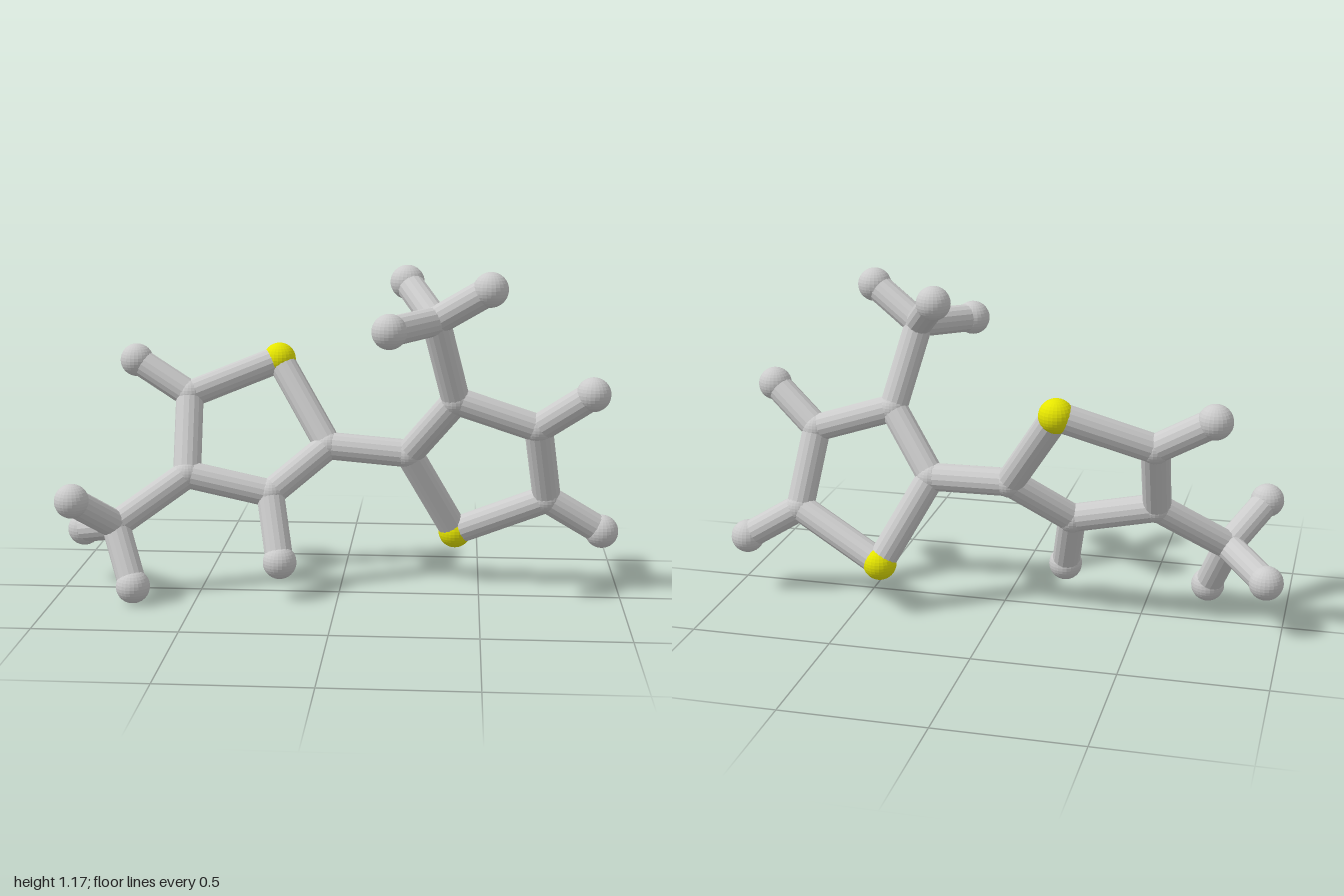
import * as THREE from 'three';

const grey = new THREE.MeshStandardMaterial({ color: 0xcccccc, flatShading: true });
const yellow = new THREE.MeshStandardMaterial({ color: 0xe6e600, flatShading: true });

// Atom centres: S sulphur, C ring carbon, M methyl carbon, H hydrogen
const rightHalf = {
  S1: [-0.24, 0.81, -0.275], C2: [-0.56, 0.69, -0.18], C3: [-0.55, 0.425, -0.026],
  C4: [-0.25, 0.36, -0.027], C5: [-0.05, 0.515, -0.137], M: [-0.79, 0.262, 0.088],
  H2: [-0.76, 0.81, -0.217], H4: [-0.205, 0.138, 0.09],
  Ha: [-0.908, 0.385, 0.248], Hb: [-0.942, 0.203, -0.082], Hc: [-0.714, 0.066, 0.184],
};
const leftHalf = {
  S1: [0.412, 0.19, -0.192], C2: [0.74, 0.34, -0.1], C3: [0.7, 0.615, -0.004],
  C4: [0.41, 0.71, 0], C5: [0.244, 0.498, -0.1], M: [0.338, 1.002, 0.096],
  H2: [0.94, 0.218, -0.12], H3: [0.882, 0.75, 0.07],
  Ha: [0.235, 1.118, -0.074], Hb: [0.522, 1.118, 0.165], Hc: [0.187, 0.988, 0.278],
};
const ring = ['S1-C2', 'C2-C3', 'C3-C4', 'C4-C5', 'C5-S1', 'C2-H2'];
const methyl = ['M-Ha', 'M-Hb', 'M-Hc'];

const atomRadius = { S: 0.06, C: 0.054, M: 0.054, H: 0.06 };
const atomName = { S: 'sulphurAtom', C: 'ringCarbon', M: 'methylCarbon', H: 'hydrogenAtom' };

function atom(key, p) {
  const kind = key[0];
  const mesh = new THREE.Mesh(
    new THREE.SphereGeometry(atomRadius[kind], 24, 16), kind === 'S' ? yellow : grey);
  mesh.position.set(...p);
  mesh.name = atomName[kind];
  return mesh;
}

// Round stick between two atom centres
function bond(a, b, name = 'bond') {
  const from = new THREE.Vector3(...a), dir = new THREE.Vector3(...b).sub(from);
  const mesh = new THREE.Mesh(new THREE.CylinderGeometry(0.05, 0.05, dir.length(), 16), grey);
  mesh.position.copy(from).addScaledVector(dir, 0.5);
  mesh.quaternion.setFromUnitVectors(new THREE.Vector3(0, 1, 0), dir.normalize());
  mesh.name = name;
  return mesh;
}

function half(name, atoms, extraBonds) {
  const group = new THREE.Group();
  group.name = name;
  for (const [key, p] of Object.entries(atoms)) group.add(atom(key, p));
  for (const pair of [...ring, ...methyl, ...extraBonds]) {
    const [a, b] = pair.split('-');
    group.add(bond(atoms[a], atoms[b]));
  }
  return group;
}

export function createModel() {
  const model = new THREE.Group();
  model.name = 'molecule';
  model.add(
    half('rightRing', rightHalf, ['C3-M', 'C4-H4']),
    half('leftRing', leftHalf, ['C4-M', 'C3-H3']),
    bond(rightHalf.C5, leftHalf.C5, 'linkingBond'));
  return model;
}
